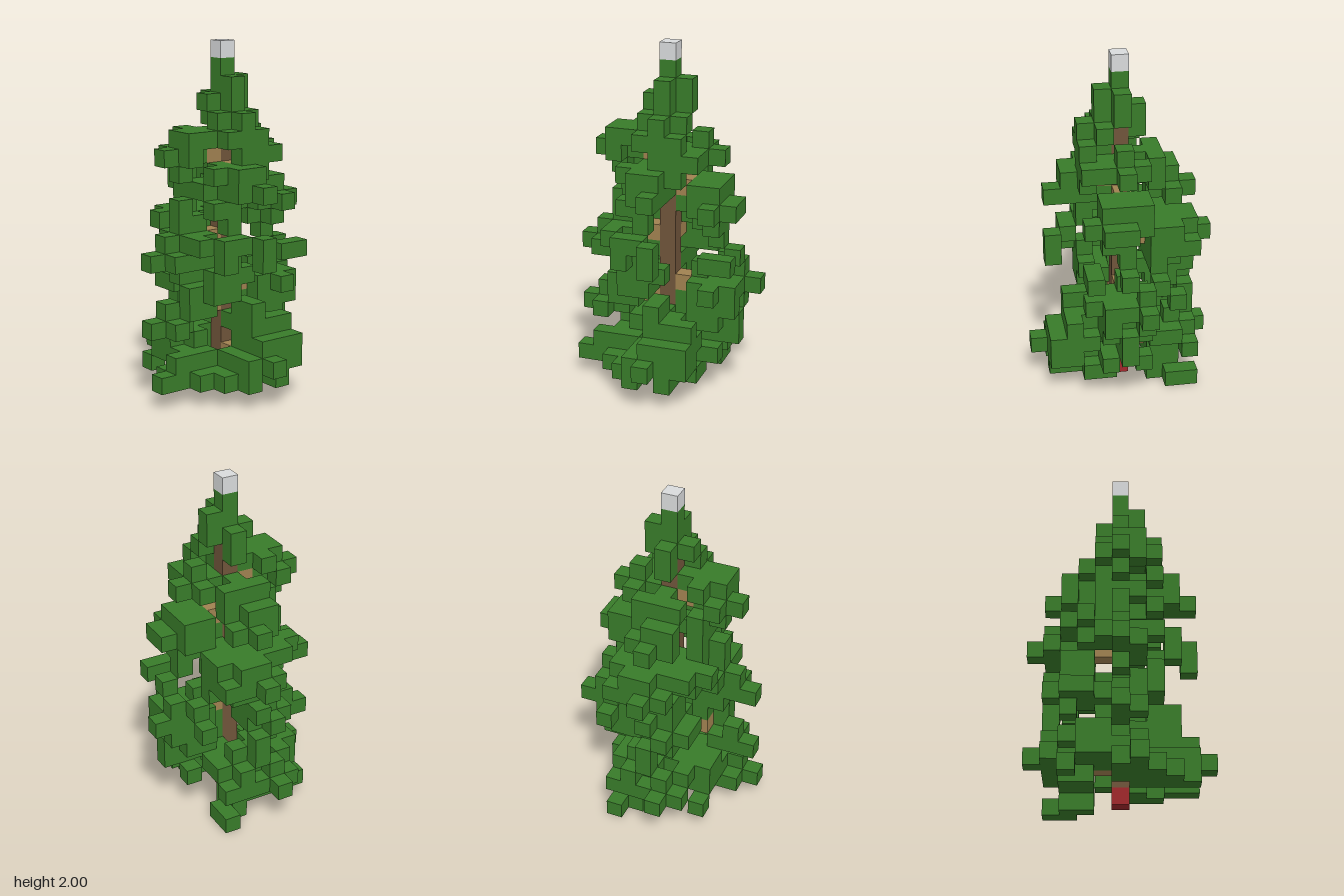
import * as THREE from 'three';
import { mergeGeometries } from 'three/addons/utils/BufferGeometryUtils.js';

const S = 2 / 21; // edge of one block

// Foliage extent of each layer from the ground up: x min, x max, z min, z max
const LAYERS = [
  null, [-5, 2, -3, 4], [-4, 3, -5, 5], [-3, 4, -4, 4], [-5, 4, -4, 3], [-4, 4, -4, 3], [-3, 5, -4, 2],
  [-3, 4, -4, 2], [-5, 4, -3, 4], [-4, 3, -5, 4], [-3, 3, -4, 2], [-3, 4, -1, 2], [-2, 3, -4, 4],
  [-3, 1, -3, 3], [-4, 3, -2, 2], [-3, 2, -1, 2], [-1, 1, -1, 2], [-1, 1, -1, 1], [0, 1, 0, 1], [0, 0, 0, 0],
];
// Plan outline: x min, x max for z = -5 .. 5
const PLAN = [[-1, 0], [-2, 2], [-3, 3], [-3, 3], [-3, 5], [-5, 4], [-5, 4], [-3, 4], [-2, 2], [-1, 2], [0, 0]];

// Openings per layer: right through, only in front of / beside the trunk, or at a corner (front +1, back -1)
const GAP_X = { 4: [-2, -1], 7: [1] };
const GAP_Z = { 1: [-1], 4: [-2], 5: [-2], 7: [1], 8: [-1] };
const OPEN_FRONT = { 1: [0], 5: [-1], 6: [0, 1], 10: [0], 11: [0], 12: [1], 14: [-1] };
const OPEN_SIDE = { 1: [0], 2: [0], 9: [-1], 13: [0, 1], 16: [0] };
const OPEN_CORNER = { 6: 1, 7: 1, 8: 1, 9: 1, 11: -1, 12: -1, 13: -1 };

// Bare wood close to the trunk
const BRANCHES = [
  [0, 2, 1], [0, 2, 2], [0, 2, -1], [-1, 5, 0], [-2, 5, 0], [1, 6, 0], [2, 6, 0], [0, 9, -1], [0, 9, -2],
  [-1, 9, 0], [-2, 9, 0], [1, 12, 0], [0, 13, 1], [-1, 14, 0],
];
// Centres of the leaf tufts at the ends of the longest branches and round the tip
const TUFTS = [
  [-4, 1, 1], [-1, 1, 3], [0, 2, 4], [-1, 2, -4], [-4, 4, 0], [4, 6, -1], [-4, 8, 0], [0, 9, -4],
  [3, 11, 0], [0, 12, 3], [0, 12, -3], [-3, 14, 0], [2, 14, 0], [0, 16, 1], [0, 17, 0],
];
const LOW_TWIGS = [[1, 0, -2], [1, 0, -3], [2, 0, -3], [2, 0, -4], [-3, 1, -3]];

const AROUND = [[0, 0, 1], [0, 0, -1], [1, 0, 0], [-1, 0, 0], [0, 1, 0], [0, -1, 0]];
const key = (x, y, z) => `${x},${y},${z}`;
const has = (table, y, v) => (table[y] || []).includes(v);

function random(seed) {
  return () => {
    seed = (seed * 1664525 + 1013904223) >>> 0;
    return seed / 4294967296;
  };
}

function isOpen(x, y, z) {
  const side = OPEN_CORNER[y] || 0, cx = x * side, cz = z * side;
  return has(GAP_X, y, x) || has(GAP_Z, y, z) ||
    (z > 0 && has(OPEN_FRONT, y, x)) || (x > 0 && has(OPEN_SIDE, y, z)) ||
    (cx > 0 && cx < 3 && cz >= cx && cz <= cx + 1);
}

// Distance from the trunk, 1 at the rim of the layer; Infinity where nothing grows
function reach(x, y, z) {
  const plan = PLAN[z + 5], layer = LAYERS[y];
  if (!plan || !layer || x < plan[0] || x > plan[1]) return Infinity;
  const [x0, x1, z0, z1] = layer;
  if (x < x0 || x > x1 || z < z0 || z > z1 || isOpen(x, y, z)) return Infinity;
  const u = x / (x > 0 ? x1 + 0.5 : x0 - 0.5);
  const w = z / (z > 0 ? z1 + 0.5 : z0 - 0.5);
  return u * u + w * w;
}

// Block map: part name by cell
function growTree() {
  const cells = new Map();
  const put = (part, x, y, z) => {
    if (!cells.has(key(x, y, z))) cells.set(key(x, y, z), { part, p: [x, y, z] });
  };
  const leaf = (x, y, z) => {
    if (reach(x, y, z) < 1.15) put('foliage', x, y, z);
  };
  const tuft = (x, y, z) => {
    leaf(x, y, z);
    AROUND.forEach(([a, b, c]) => leaf(x + a, y + b, z + c));
  };

  put('trunkFoot', 0, 0, 0);
  for (let y = 1; y < 20; y++) put(y < 17 ? 'trunk' : 'foliage', 0, y, 0);
  put('treeTopper', 0, 20, 0);
  BRANCHES.forEach((p) => put('branches', ...p));
  LOW_TWIGS.forEach((p) => put('foliage', ...p));
  TUFTS.forEach((p) => tuft(...p));

  // Leafy boughs fan out around the trunk
  const rand = random(11);
  for (let y = 1; y < 16; y++) {
    for (let i = 0; i < 3; i++) {
      const angle = y * 2.4 + (i + 0.5 * rand()) * Math.PI * 2 / 3;
      for (let d = 2; d < 5; d++) {
        const x = Math.round(d * Math.cos(angle)), z = Math.round(d * Math.sin(angle));
        if (reach(x, y, z) > 0.75) break;
        tuft(x, y, z);
      }
    }
  }

  // Close a row of cells, listed from the outside in, unless foliage already shows first
  const close = (row) => {
    const first = row.find((p) => cells.has(key(...p)));
    if (first && cells.get(key(...first)).part === 'foliage') return;
    const ahead = first ? row.slice(0, row.indexOf(first)) : row;
    const free = ahead.filter((p) => reach(...p) < Infinity);
    free.sort((p, q) => Math.abs(reach(...p) - 0.6) - Math.abs(reach(...q) - 0.6));
    if (free.length) put('foliage', ...free[0]);
  };
  const span = Array.from({ length: 11 }, (_, i) => 5 - i);
  for (let y = 1; y < 19; y++) {
    for (const a of span) {
      if (!has(OPEN_FRONT, y, a)) close(span.map((z) => [a, y, z]));
      if (!has(OPEN_SIDE, y, a)) close(span.map((x) => [x, y, a]));
    }
  }
  const heights = LAYERS.map((_, i) => 19 - i);
  for (const x of span) {
    for (const z of span) close(heights.map((y) => [x, y, z]));
  }
  return cells;
}

// One square per block side
const TURNS = [[0, 0], [0, Math.PI], [0, Math.PI / 2], [0, -Math.PI / 2], [-Math.PI / 2, 0], [Math.PI / 2, 0]];
const SIDES = TURNS.map(([rx, ry], i) => ({
  n: AROUND[i],
  face: new THREE.PlaneGeometry(S, S).translate(0, 0, S / 2).rotateX(rx).rotateY(ry),
}));

export function createModel() {
  const paint = (name, color) => {
    const m = new THREE.MeshStandardMaterial({ color });
    m.name = name;
    return m;
  };
  const materials = {
    foliage: paint('leaf green', 0x387b29),
    trunk: paint('bark brown', 0x6f543a),
    branches: paint('branch tan', 0xa08150),
    trunkFoot: paint('foot red', 0xa0282b),
    treeTopper: paint('topper silver', 0xd8dadb),
  };
  const cells = growTree();
  const faces = {};

  // Keep only the sides that no other block covers
  for (const { part, p: [x, y, z] } of cells.values()) {
    for (const { n, face } of SIDES) {
      if (cells.has(key(x + n[0], y + n[1], z + n[2]))) continue;
      (faces[part] ||= []).push(face.clone().translate(x * S, (y + 0.5) * S, z * S));
    }
  }

  const tree = new THREE.Group();
  tree.name = 'blockTree';
  for (const part in faces) {
    const mesh = new THREE.Mesh(mergeGeometries(faces[part]), materials[part]);
    mesh.name = part;
    tree.add(mesh);
  }
  return tree;
}
